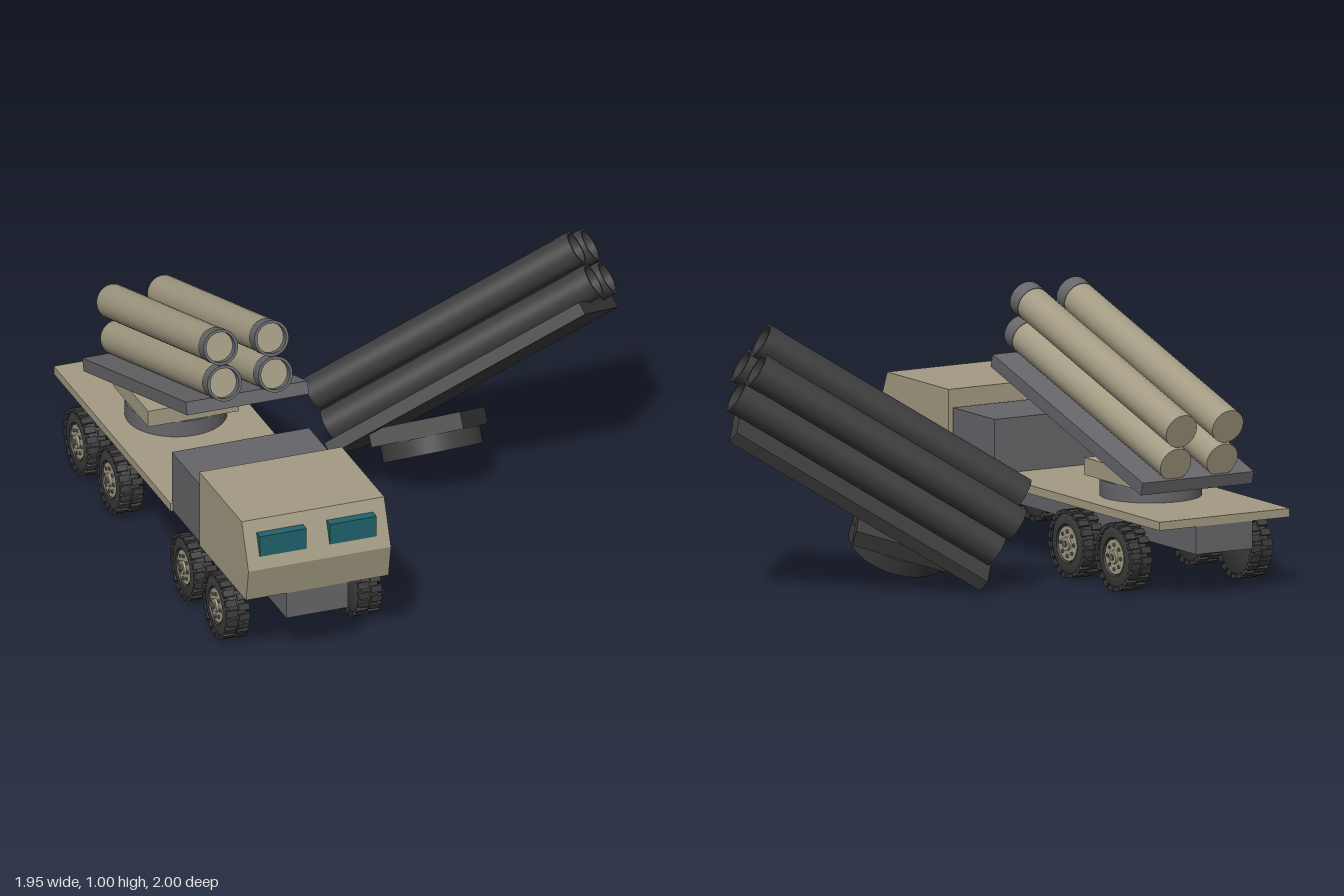
import * as THREE from 'three';
import { mergeGeometries, toCreasedNormals } from 'three/addons/utils/BufferGeometryUtils.js';

const material = (name, color) => {
  const m = new THREE.MeshStandardMaterial({ color });
  m.name = name;
  return m;
};

function part(parent, name, geometry, mat, x = 0, y = 0, z = 0) {
  const mesh = new THREE.Mesh(geometry, mat);
  mesh.name = name;
  mesh.position.set(x, y, z);
  parent.add(mesh);
  return mesh;
}

const box = (w, h, d) => new THREE.BoxGeometry(w, h, d);

function lathe(points, segments) {
  const geometry = new THREE.LatheGeometry(points.map(p => new THREE.Vector2(...p)), segments);
  return toCreasedNormals(geometry, 0.6);
}

// Wheel pieces, built with the axle along +x (outer face at +x)
function wheelGeometries() {
  const h = 0.043, r = 0.121;
  const tyre = lathe([[0, -h], [0.102, -h], [r, -h * 0.75], [r, h * 0.75], [0.102, h],
    [0.074, h], [0.07, h - 0.012], [0, h - 0.012]], 32).rotateZ(-Math.PI / 2);
  const lugs = [];
  const count = 20;
  for (const side of [-1, 1]) {
    for (let i = 0; i < count; i++) {
      const lug = box(0.042, 0.016, 0.025);
      lug.translate(side * 0.0245, r - 0.001, 0);
      lug.rotateX((i + (side > 0 ? 0.5 : 0)) / count * Math.PI * 2);
      lugs.push(lug);
    }
  }
  // Hub plate, raised centre and wheel bolts
  const disc = (radius, depth, x, sides) =>
    new THREE.CylinderGeometry(radius, radius, depth, sides).rotateZ(-Math.PI / 2).translate(x, 0, 0);
  const hub = [disc(0.066, 0.01, 0.034, 28), disc(0.026, 0.014, 0.042, 16)];
  const bolts = [disc(0.012, 0.006, 0.051, 10)];
  for (let i = 0; i < 8; i++) {
    bolts.push(disc(0.007, 0.006, 0.041, 8).translate(0, 0.046, 0).rotateX(i * Math.PI / 4));
  }
  return { tyre, lugs: mergeGeometries(lugs), hub: mergeGeometries(hub), bolts: mergeGeometries(bolts) };
}

// Turntable with an elevated rack of four tubes; origin at the centre of the turntable's foot
function makeLauncher(name, metal, paint) {
  const launcher = new THREE.Group();
  launcher.name = name;
  part(launcher, 'turntable', new THREE.CylinderGeometry(0.19, 0.19, 0.065, 40), metal, 0, 0.0325, 0);
  part(launcher, 'turntableBox', box(0.36, 0.065, 0.36), paint, 0, 0.0975, 0);

  const rack = new THREE.Group();
  rack.name = 'tubeRack';
  rack.position.set(0, 0.2785, 0.1945);
  rack.rotation.x = -0.295;
  launcher.add(rack);
  part(rack, 'rackPlatform', box(0.483, 0.05, 1.113), metal, 0, -0.025, 0);

  const tube = new THREE.CylinderGeometry(0.066, 0.066, 1.124, 32).rotateX(Math.PI / 2);
  const collar = lathe([[0.057, 0], [0.068, 0], [0.068, 0.058], [0.057, 0.058], [0.057, 0]], 32)
    .rotateX(Math.PI / 2);
  for (const x of [-0.101, 0.101]) {
    for (const y of [0.056, 0.193]) {
      part(rack, 'launchTube', tube, paint, x, y, 0.018);
      part(rack, 'tubeCollar', collar, metal, x, y, 0.552);
    }
  }
  return launcher;
}

export function createModel() {
  const model = new THREE.Group();
  const tan = material('tan paint', 0xa39b83);
  const grey = material('grey metal', 0x66666a);
  const rubber = material('tyre rubber', 0x3c3c3c);
  const glass = material('teal glass', 0x21626d);
  const burnt = material('charcoal metal', 0x3d3d3d);

  const truck = new THREE.Group();
  truck.name = 'truck';
  truck.position.x = -0.664;
  model.add(truck);

  // Cab from its side outline
  const width = 0.566;
  const outline = new THREE.Shape([[0.495, 0.27], [0.975, 0.27], [1.0, 0.4], [0.93, 0.575], [0.495, 0.575]]
    .map(p => new THREE.Vector2(...p)));
  const cab = new THREE.ExtrudeGeometry(outline, { depth: width, bevelEnabled: false })
    .translate(0, 0, -width / 2).rotateY(-Math.PI / 2);
  part(truck, 'cab', cab, tan);
  for (const side of [-1, 1]) {
    part(truck, 'windscreen', box(0.185, 0.083, 0.045), glass, side * 0.139, 0.488, 0.9635);
  }

  // Chassis, equipment box and load bed
  part(truck, 'chassis', box(0.244, 0.105, 1.97), grey, 0, 0.2175, -0.012);
  part(truck, 'equipmentBox', box(0.545, 0.238, 0.295), grey, 0, 0.389, 0.3325);
  part(truck, 'loadBed', box(width, 0.032, 1.2), tan, 0, 0.286, -0.4);

  // Four axles with a wheel on each side
  const geo = wheelGeometries();
  for (const z of [0.716, 0.383, -0.378, -0.71]) {
    for (const side of [-1, 1]) {
      const wheel = new THREE.Group();
      wheel.name = 'wheel';
      wheel.position.set(side * 0.262, 0.129, z);
      wheel.rotation.y = side > 0 ? 0 : Math.PI;
      part(wheel, 'tyre', geo.tyre, rubber);
      part(wheel, 'treadLugs', geo.lugs, rubber);
      part(wheel, 'hub', geo.hub, tan);
      part(wheel, 'wheelBolts', geo.bolts, grey);
      truck.add(wheel);
    }
  }

  const mounted = makeLauncher('mountedLauncher', grey, tan);
  mounted.position.set(0, 0.3, -0.477);
  truck.add(mounted);

  // Detached launcher lying tilted beside the truck
  const detached = makeLauncher('detachedLauncher', burnt, burnt);
  const front = new THREE.Vector3(0.831, 0.288, 0.475).normalize();
  const across = new THREE.Vector3(-0.026, 0.874, -0.484).cross(front).normalize();
  const up = front.clone().cross(across);
  detached.quaternion.setFromRotationMatrix(new THREE.Matrix4().makeBasis(across, up, front));
  detached.position.set(0.226, 0.138, -0.135);
  model.add(detached);

  return model;
}
